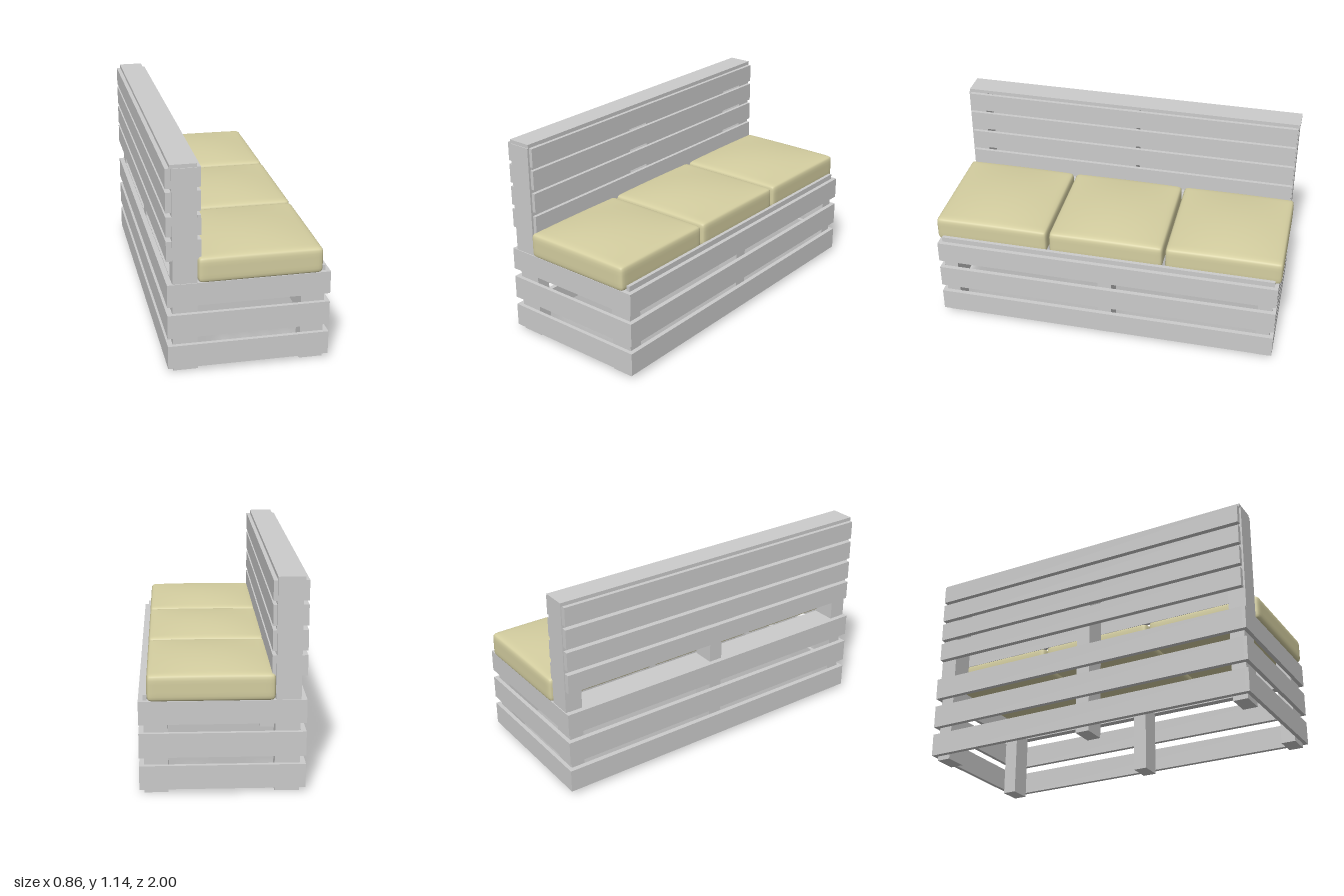
import * as THREE from 'three';
import { mergeVertices } from 'three/addons/utils/BufferGeometryUtils.js';

const wood = new THREE.MeshStandardMaterial({ color: 0xcccccc });
const fabric = new THREE.MeshStandardMaterial({ color: 0xd4cea0 });

// Board given by its lower and upper limits on each axis
function board(name, [x0, x1], [y0, y1], [z0, z1]) {
  const mesh = new THREE.Mesh(new THREE.BoxGeometry(x1 - x0, y1 - y0, z1 - z0), wood);
  mesh.position.set((x0 + x1) / 2, (y0 + y1) / 2, (z0 + z1) / 2);
  mesh.name = name;
  return mesh;
}

// Rounded box with a domed top; its base sits at y = 0
function cushionGeometry(w, h, d, r, dome) {
  const geo = new THREE.BoxGeometry(2, 2, 2, 22, 10, 22);
  geo.deleteAttribute('uv');
  geo.deleteAttribute('normal');
  const pos = geo.attributes.position;
  const half = new THREE.Vector3(w / 2, h / 2, d / 2);
  const inner = half.clone().subScalar(r);
  const p = new THREE.Vector3(), core = new THREE.Vector3();
  const ease = (t) => Math.sin(t * Math.PI / 2); // denser rows near the edges
  for (let i = 0; i < pos.count; i++) {
    p.fromBufferAttribute(pos, i);
    p.set(ease(p.x), ease(p.y), ease(p.z)).multiply(half);
    core.copy(p).clamp(inner.clone().negate(), inner);
    p.sub(core).setLength(r).add(core);
    const u = p.x / half.x, v = p.z / half.z;
    const rise = p.y / h + 0.5;
    p.y += half.y + dome * rise * (1 - u * u) * (1 - v * v);
    pos.setXYZ(i, p.x, p.y, p.z);
  }
  const smooth = mergeVertices(geo, 1e-5);
  smooth.computeVertexNormals();
  return smooth;
}

export function createModel() {
  const model = new THREE.Group();
  model.name = 'slattedBench';

  // Posts: three tall at the back, three short at the front
  for (const z of [-0.922, 0, 0.922]) {
    const depth = [z - 0.04, z + 0.04];
    model.add(board('backPost', [-0.4, -0.27], [0, 1.125], depth));
    model.add(board('frontPost', [0.28, 0.404], [0, 0.5], depth));
  }

  // Base slats wrapped around all four sides
  for (const y of [[0.025, 0.155], [0.2, 0.332], [0.38, 0.505]]) {
    model.add(board('frontSlat', [0.405, 0.43], y, [-0.965, 0.965]));
    model.add(board('backSlat', [-0.43, -0.402], y, [-0.965, 0.965]));
    model.add(board('leftEndSlat', [-0.43, 0.43], y, [0.963, 0.985]));
    model.add(board('rightEndSlat', [-0.43, 0.43], y, [-0.985, -0.963]));
  }

  // Backrest slats on both faces of the back posts
  for (const y of [[0.63, 0.738], [0.763, 0.87], [0.893, 1.0], [1.02, 1.125]]) {
    model.add(board('backrestRearSlat', [-0.43, -0.4], y, [-0.975, 0.97]));
    model.add(board('backrestFrontSlat', [-0.27, -0.25], y, [-0.975, 0.97]));
  }
  // Solid-looking ends of the backrest and its cap
  for (const s of [-1, 1]) {
    const z = [s * 0.955, s * 0.98].sort((a, b) => a - b);
    model.add(board('backrestEnd', [-0.4, -0.272], [0.505, 1.125], z));
  }
  model.add(board('backrestCap', [-0.408, -0.272], [1.125, 1.145], [-0.985, 0.975]));

  // Seat plank at the back and raised cushion stop at the front
  model.add(board('seatBackPlank', [-0.4, -0.265], [0.48, 0.503], [-0.963, 0.963]));
  model.add(board('cushionStop', [0.385, 0.406], [0.38, 0.535], [-0.963, 0.963]));

  // Three seat cushions
  const geo = cushionGeometry(0.656, 0.142, 0.656, 0.026, 0.028);
  for (const z of [-0.67, 0, 0.67]) {
    const cushion = new THREE.Mesh(geo, fabric);
    cushion.name = 'seatCushion';
    cushion.position.set(0.058, 0.504, z);
    model.add(cushion);
  }
  return model;
}
